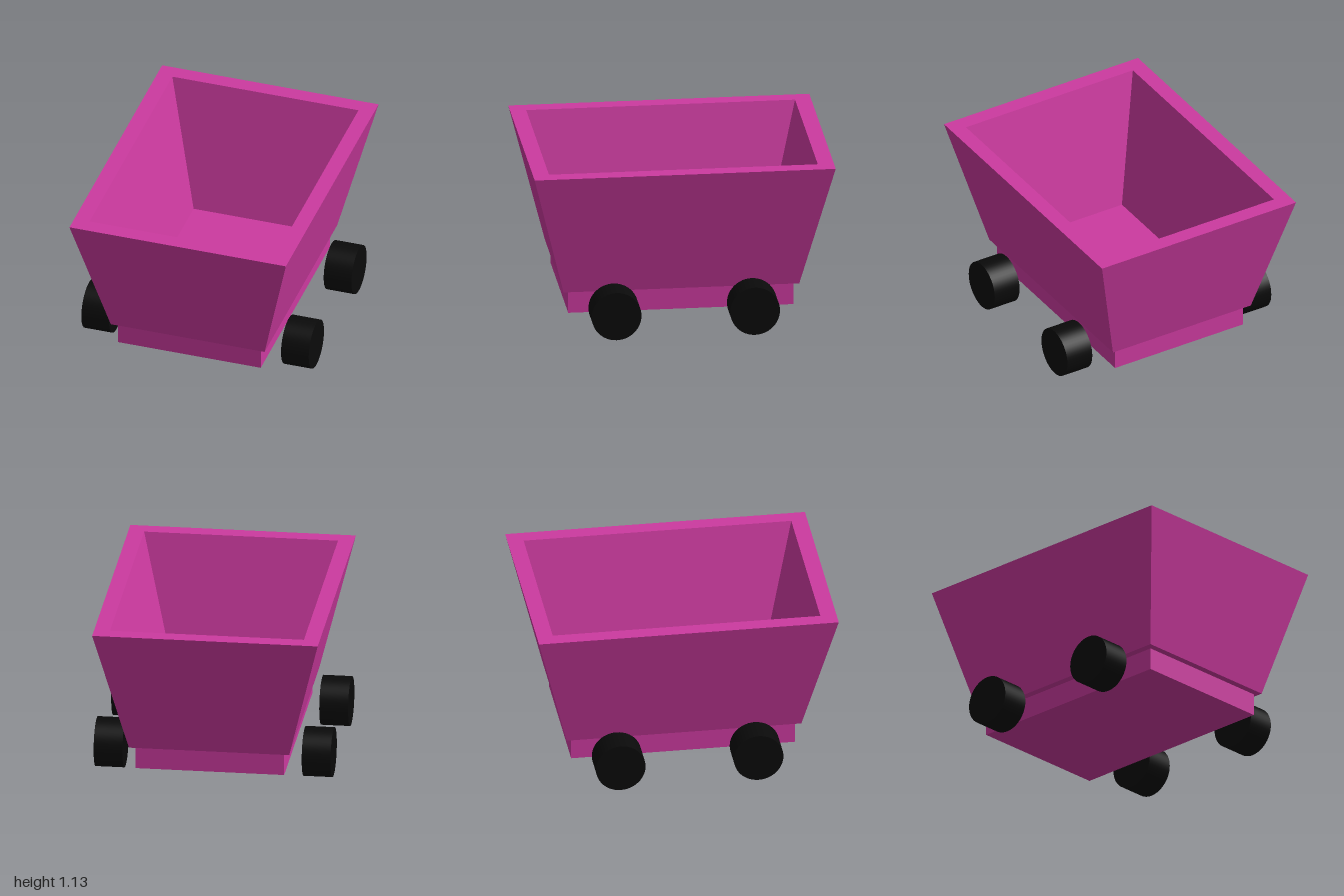
import * as THREE from 'three';

const pink = new THREE.MeshStandardMaterial({ color: 0xcc3a9f });
pink.name = 'pink';
const black = new THREE.MeshStandardMaterial({ color: 0x0a0a0a });
black.name = 'black';

// Rectangular ring of walls: joins successive [halfX, y, halfZ] loops and closes on the first
function rectangularShell(loops) {
  const corners = [[1, 1], [1, -1], [-1, -1], [-1, 1]];
  const positions = [];
  loops.forEach((lower, i) => {
    const upper = loops[(i + 1) % loops.length];
    const point = ([hx, y, hz], k) => [corners[k % 4][0] * hx, y, corners[k % 4][1] * hz];
    for (let k = 0; k < 4; k++) {
      const a = point(lower, k), b = point(lower, k + 1);
      const c = point(upper, k + 1), d = point(upper, k);
      positions.push(...a, ...b, ...c, ...a, ...c, ...d);
    }
  });
  const geometry = new THREE.BufferGeometry();
  geometry.setAttribute('position', new THREE.Float32BufferAttribute(positions, 3));
  geometry.computeVertexNormals();
  return geometry;
}

export function createModel() {
  const cart = new THREE.Group();
  cart.name = 'cart';

  const add = (name, geometry, material, x, y, z) => {
    const mesh = new THREE.Mesh(geometry, material);
    mesh.name = name;
    mesh.position.set(x, y, z);
    cart.add(mesh);
  };

  // Flared hopper walls: outside, rim, inside, underside
  add('hopper', rectangularShell([
    [0.533, 0.258, 0.783],
    [0.75, 1.126, 1],
    [0.645, 1.126, 0.893],
    [0.428, 0.258, 0.676],
  ]), pink, 0, 0, 0);

  // Chassis slab, whose top also forms the hopper floor
  add('chassis', new THREE.BoxGeometry(0.99, 0.15, 1.495), pink, 0, 0.176, 0);

  // Four wheels standing clear of the chassis
  const wheel = new THREE.CylinderGeometry(0.165, 0.165, 0.192, 48).rotateZ(Math.PI / 2);
  for (const [side, x] of [['left', 0.692], ['right', -0.692]]) {
    for (const [end, z] of [['Front', 0.46], ['Back', -0.46]]) {
      add(`${side}${end}Wheel`, wheel, black, x, 0.165, z);
    }
  }

  return cart;
}
